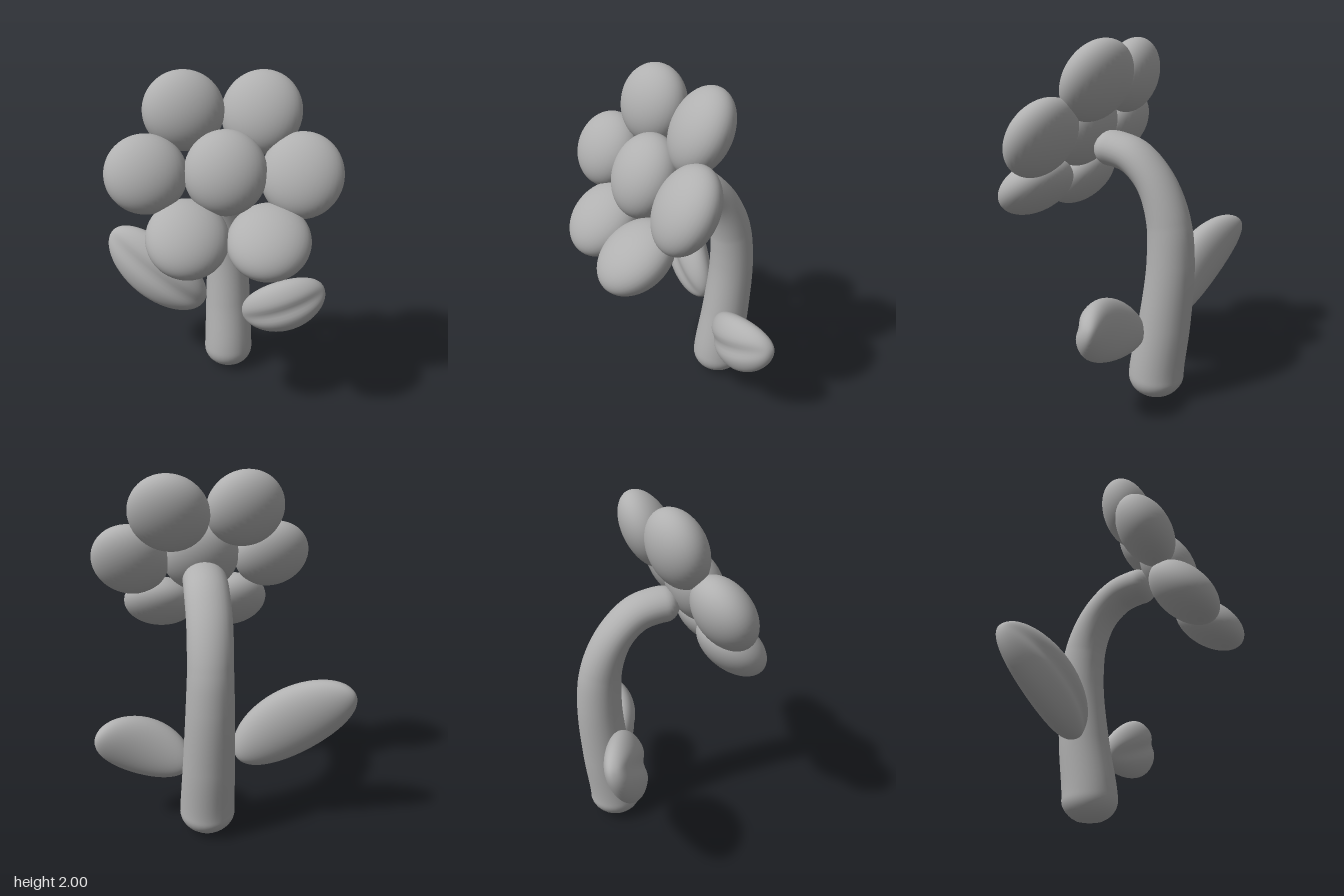
import * as THREE from 'three';
import { mergeVertices } from 'three/addons/utils/BufferGeometryUtils.js';

const grey = new THREE.MeshStandardMaterial({ color: 0xb0b0b0 });
grey.name = 'soft grey';

// Weld seams and rebuild smooth normals after vertices have been moved
function smooth(geometry) {
  geometry.deleteAttribute('uv');
  geometry.deleteAttribute('normal');
  const welded = mergeVertices(geometry, 1e-5);
  welded.computeVertexNormals();
  return welded;
}

function addMesh(group, name, geometry) {
  const mesh = new THREE.Mesh(geometry, grey);
  mesh.name = name;
  group.add(mesh);
  return mesh;
}

// Bent stem: a tube that tapers, flattens a little at the bend and closes round at both ends
function stemGeometry() {
  const path = new THREE.CatmullRomCurve3([
    [0.085, 0, -0.335], [0.085, 0.15, -0.337], [0.08, 0.45, -0.38], [0.075, 0.8, -0.408],
    [0.07, 1.05, -0.383], [0.065, 1.24, -0.3], [0.065, 1.358, -0.18], [0.062, 1.395, -0.07],
    [0.06, 1.405, 0.07],
  ].map(p => new THREE.Vector3(...p)));
  const rings = 120, sides = 28, length = path.getLength();
  const geometry = new THREE.TubeGeometry(path, rings, 1, sides);
  const position = geometry.attributes.position;
  const v = new THREE.Vector3();
  const cap = (d, size) => Math.sqrt(Math.max(0, 1 - Math.max(0, 1 - d / size) ** 2));
  for (let i = 0; i <= rings; i++) {
    const u = i / rings;
    const centre = path.getPointAt(u);
    const ends = cap(u * length, 0.13) * cap((1 - u) * length, 0.09);
    const wide = ends * THREE.MathUtils.lerp(0.162, 0.124, Math.min(1, u / 0.6));
    const deep = wide * THREE.MathUtils.lerp(1, 0.8, THREE.MathUtils.smoothstep(u, 0.55, 0.8));
    for (let j = 0; j <= sides; j++) {
      const k = i * (sides + 1) + j;
      v.fromBufferAttribute(position, k).sub(centre);
      position.setXYZ(k, centre.x + v.x * wide, centre.y + v.y * deep, centre.z + v.z * deep);
    }
  }
  return smooth(geometry);
}

// Leaf: a flattened, blunt-ended ball with a shallow front groove, swept and curled back to its tip
function leafGeometry(halfLength, halfWidth, halfThick, sweep, curl) {
  const geometry = new THREE.SphereGeometry(1, 48, 32).rotateZ(-Math.PI / 2);
  const position = geometry.attributes.position;
  for (let i = 0; i < position.count; i++) {
    const t = position.getX(i), v = position.getY(i);
    let w = position.getZ(i) * Math.max(1e-3, 1 - t * t) ** -0.12;
    if (w > 0) w *= 1 - 0.2 * Math.exp(-((v / 0.25) ** 2));
    position.setXYZ(i, t * halfLength, v * halfWidth, w * halfThick + sweep * t - curl * t * t);
  }
  return smooth(geometry);
}

export function createModel() {
  const model = new THREE.Group();
  model.name = 'flower';

  addMesh(model, 'stem', stemGeometry());

  // Leaves either side of the stem
  const rightLeaf = addMesh(model, 'rightLeaf', leafGeometry(0.373, 0.198, 0.115, -0.07, 0.05));
  rightLeaf.position.set(-0.385, 0.67, -0.353);
  rightLeaf.rotation.z = Math.PI - 0.62;
  const leftLeaf = addMesh(model, 'leftLeaf', leafGeometry(0.279, 0.172, 0.102, 0.005, 0.06));
  leftLeaf.position.set(0.438, 0.495, -0.217);
  leftLeaf.rotation.z = 0.38;

  // Flower head: x, y, z, tilt back, turn towards the middle, half height, half depth
  const head = new THREE.Group();
  head.name = 'flowerHead';
  model.add(head);
  const ball = new THREE.SphereGeometry(1, 40, 28);
  const lobes = {
    flowerCentre: [0.065, 1.5, 0.165, 0.45, 0, 0.23, 0.155],
    upperRightPetal: [-0.165, 1.79, -0.008, 0.29, 0.18, 0.215, 0.145],
    upperLeftPetal: [0.255, 1.775, -0.053, 0.48, -0.18, 0.232, 0.138],
    middleRightPetal: [-0.355, 1.495, 0.185, 0.5, 0.15, 0.215, 0.145],
    middleLeftPetal: [0.47, 1.487, 0.15, 0.52, -0.15, 0.235, 0.135],
    lowerRightPetal: [-0.13, 1.187, 0.325, 0.85, 0.12, 0.23, 0.14],
    lowerLeftPetal: [0.297, 1.183, 0.34, 0.95, -0.12, 0.23, 0.135],
  };
  for (const [name, [x, y, z, tilt, turn, halfHeight, halfDepth]] of Object.entries(lobes)) {
    const lobe = addMesh(head, name, ball);
    lobe.position.set(x, y, z);
    lobe.rotation.set(-tilt, turn, 0, 'YXZ');
    lobe.scale.set(0.222, halfHeight, halfDepth);
  }
  return model;
}
